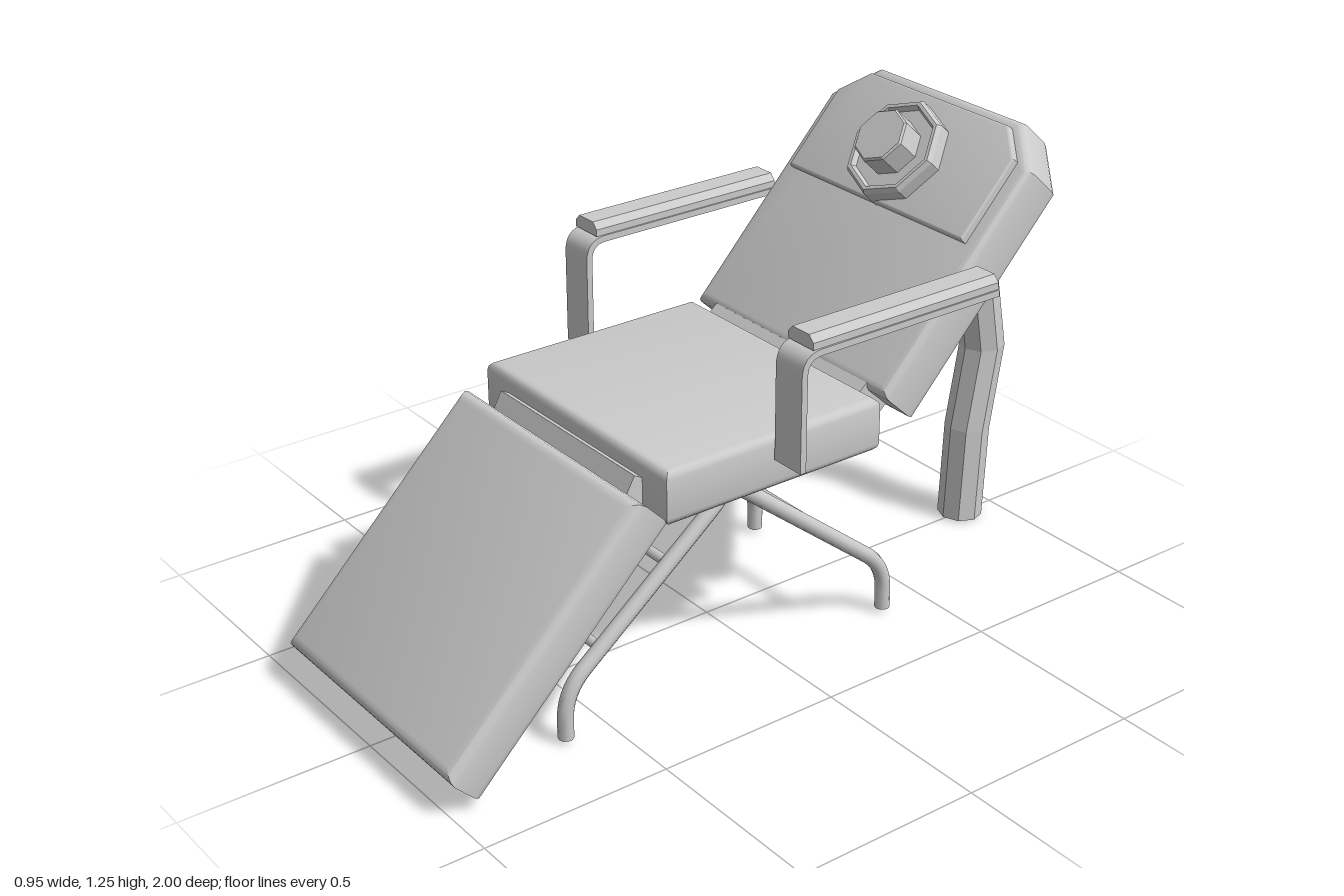
import * as THREE from 'three';
import { toCreasedNormals } from 'three/addons/utils/BufferGeometryUtils.js';

const smooth = new THREE.MeshStandardMaterial({ color: 0xcccccc });
const faceted = new THREE.MeshStandardMaterial({ color: 0xcccccc, flatShading: true });
const V = (x, y, z) => new THREE.Vector3(x, y, z);

function add(parent, name, geometry, material = smooth) {
  const mesh = new THREE.Mesh(geometry, material);
  mesh.name = name;
  parent.add(mesh);
  return mesh;
}

// Cushion: width on x, length on y, thickness on z, rounded rims, optional cut top corners
function cushion(w, l, t, r, cut = 0) {
  const x = w / 2 - r, y = l / 2 - r;
  const pts = cut
    ? [[-x, -y], [x, -y], [x, y - cut], [x - cut, y], [-x + cut, y], [-x, y - cut]]
    : [[-x, -y], [x, -y], [x, y], [-x, y]];
  const geo = new THREE.ExtrudeGeometry(new THREE.Shape(pts.map(p => new THREE.Vector2(...p))), {
    depth: t - 2 * r, bevelSize: r, bevelThickness: r, bevelSegments: 3,
  });
  geo.translate(0, 0, r - t / 2);
  return toCreasedNormals(geo, 0.6);
}

// Polyline with its inner corners rounded
function roundedPath(pts, r) {
  const path = new THREE.CurvePath();
  let last = pts[0];
  for (let i = 1; i < pts.length - 1; i++) {
    const a = pts[i].clone().add(pts[i - 1].clone().sub(pts[i]).setLength(r));
    const b = pts[i].clone().add(pts[i + 1].clone().sub(pts[i]).setLength(r));
    path.add(new THREE.LineCurve3(last, a));
    path.add(new THREE.QuadraticBezierCurve3(a, pts[i], b));
    last = b;
  }
  path.add(new THREE.LineCurve3(last, pts[pts.length - 1]));
  return path;
}

// One folding frame: bent tube with two feet, a top bar and two rungs
function legFrame(name, dir) {
  const frame = new THREE.Group();
  frame.name = name;
  const apexZ = 0.126, x = 0.265;
  const z = d => apexZ + dir * d;
  const pts = [V(x, 0.01, z(0.495)), V(x, 0.135, z(0.495)), V(x, 0.53, apexZ)];
  const path = roundedPath([...pts, ...pts.map(p => V(-p.x, p.y, p.z)).reverse()], 0.075);
  add(frame, 'legTube', new THREE.TubeGeometry(path, 120, 0.02, 10));
  for (const p of [pts[0], V(-x, 0.01, pts[0].z)]) {
    const cap = add(frame, 'footCap', new THREE.CircleGeometry(0.02, 10));
    cap.rotation.x = Math.PI / 2;
    cap.position.copy(p);
  }
  for (const d of [0.19, 0.39]) {
    const rung = add(frame, 'rung', new THREE.CylinderGeometry(0.013, 0.013, 2 * x, 8));
    rung.rotation.z = Math.PI / 2;
    rung.position.set(0, 0.53 - d * 0.8, z(d));
  }
  return frame;
}

function armrest(name, side) {
  const arm = new THREE.Group();
  arm.name = name;
  // Bent flat band
  const s = new THREE.Shape();
  s.moveTo(0.09, 0.63);
  s.lineTo(0.09, 0.875);
  s.quadraticCurveTo(0.09, 0.935, 0.03, 0.935);
  s.lineTo(-0.52, 0.935);
  s.lineTo(-0.52, 0.918);
  s.lineTo(0.03, 0.918);
  s.quadraticCurveTo(0.073, 0.918, 0.073, 0.875);
  s.lineTo(0.073, 0.63);
  const band = new THREE.ExtrudeGeometry(s, { depth: 0.095, bevelEnabled: false, curveSegments: 8 });
  band.rotateY(-Math.PI / 2).translate(0.0475, 0, 0);
  add(arm, 'armBand', toCreasedNormals(band, 0.5));
  // Pad with chamfered top edges
  const pts = [[-0.046, 0], [0.046, 0], [0.046, 0.018], [0.03, 0.035], [-0.03, 0.035], [-0.046, 0.018]];
  const pad = new THREE.ExtrudeGeometry(new THREE.Shape(pts.map(p => new THREE.Vector2(...p))),
    { depth: 0.575, bevelEnabled: false });
  add(arm, 'armPad', pad).position.set(-0.003, 0.935, -0.52);
  arm.position.x = side * 0.4275;
  return arm;
}

export function createModel() {
  const model = new THREE.Group();
  model.name = 'recliningChair';

  // Seat and leg rest
  const seat = add(model, 'seat', cushion(0.75, 0.64, 0.143, 0.022));
  seat.position.set(0, 0.619, 0.08);
  seat.rotation.x = -Math.PI / 2;
  const legRest = add(model, 'legRest', cushion(0.75, 0.76, 0.13, 0.03));
  legRest.position.set(0, 0.33, 0.70);
  legRest.rotation.x = -Math.PI / 4;

  // Hinge blocks between the cushions
  const frontHinge = add(model, 'frontHinge', new THREE.BoxGeometry(0.56, 0.1, 0.07));
  frontHinge.position.set(0, 0.592, 0.415);
  frontHinge.rotation.x = -0.5;
  const backHinge = add(model, 'backHinge', new THREE.BoxGeometry(0.6, 0.15, 0.1));
  backHinge.position.set(0, 0.645, -0.277);
  backHinge.rotation.x = -0.85;

  // Backrest with its head pad and round fitting
  const back = new THREE.Group();
  back.name = 'backrestGroup';
  back.position.set(0, 0.923, -0.562);
  back.rotation.x = -0.75;
  model.add(back);
  add(back, 'backrest', cushion(0.75, 0.765, 0.14, 0.025, 0.095));
  add(back, 'headPad', cushion(0.66, 0.31, 0.03, 0.007, 0.07)).position.set(0, 0.197, 0.077);
  const profile = [[0.14, 0], [0.14, 0.058], [0.132, 0.07], [0.122, 0.07], [0.115, 0.055],
    [0.077, 0.055], [0.077, 0.122], [0.072, 0.127], [0, 0.127]];
  const fitting = new THREE.LatheGeometry(profile.map(p => new THREE.Vector2(...p)), 8);
  fitting.rotateX(Math.PI / 2);
  add(back, 'headFitting', fitting, faceted).position.set(0, 0.18, 0.068);

  // Collar behind the backrest
  const collar = [[0, 0], [0.075, 0], [0.09, 0.015], [0.09, 0.09], [0, 0.09]];
  const collarGeo = new THREE.LatheGeometry(collar.map(p => new THREE.Vector2(...p)), 8);
  collarGeo.rotateX(Math.PI / 2);
  add(back, 'stemCollar', collarGeo, faceted).position.set(0, 0.095, -0.148);

  // Bent support stem, one ring of eight sides at each bend
  const stem = new THREE.CatmullRomCurve3([V(0, 0.935, -0.69), V(0, 0.69, -0.905),
    V(0, 0.504, -0.938), V(0, 0.268, -0.898), V(0, 0.001, -0.886)]);
  stem.getPointAt = stem.getPoint;
  stem.getTangentAt = stem.getTangent;
  add(model, 'supportStem', new THREE.TubeGeometry(stem, 4, 0.061, 8), faceted);
  const base = add(model, 'stemBase', new THREE.CircleGeometry(0.061, 8));
  base.rotation.x = Math.PI / 2;
  base.position.set(0, 0.001, -0.886);

  // Arms and folding legs
  model.add(armrest('leftArmrest', 1), armrest('rightArmrest', -1));
  model.add(legFrame('frontLegs', 1), legFrame('backLegs', -1));
  return model;
}
